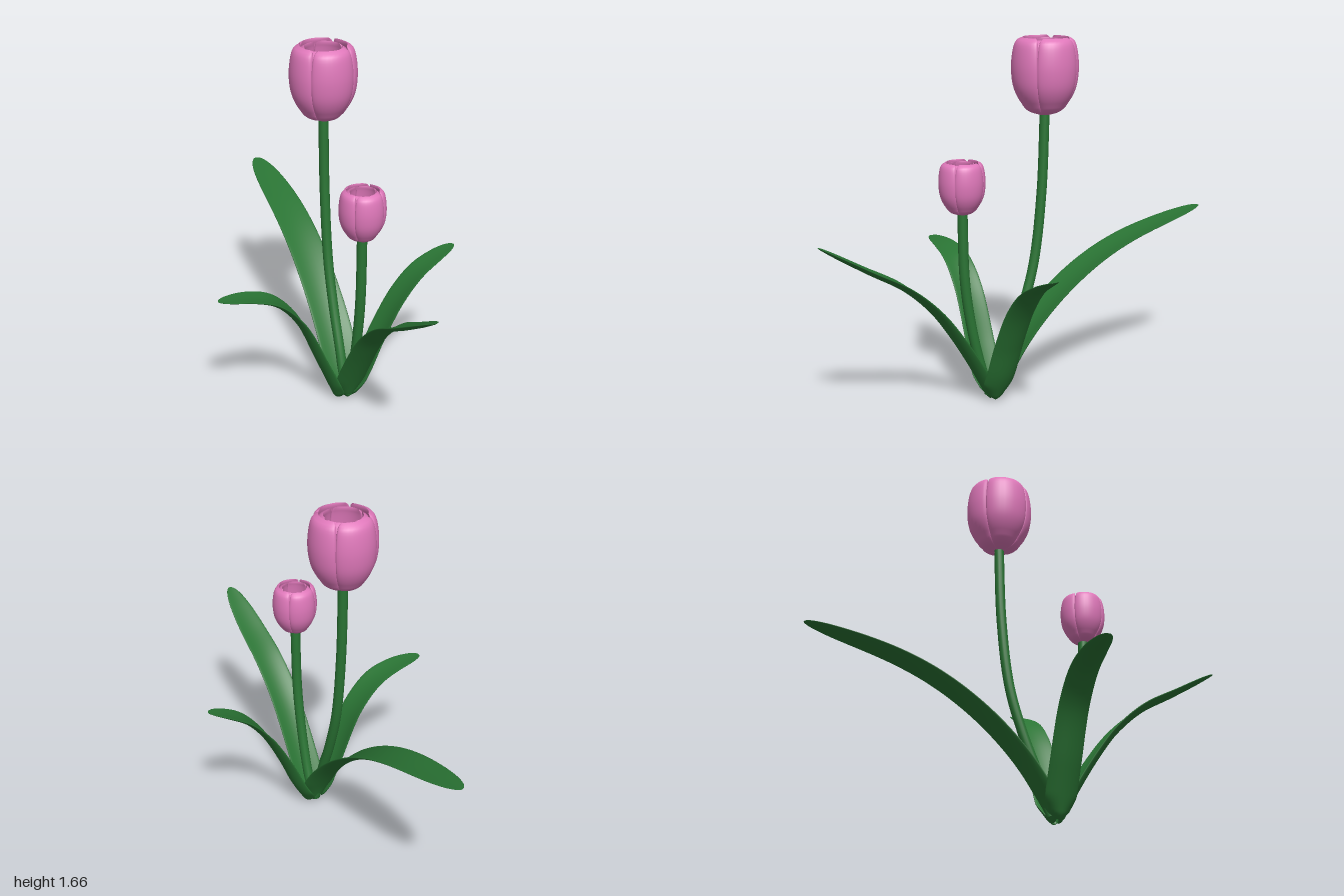
import * as THREE from 'three';

const green = new THREE.MeshStandardMaterial({ color: 0x2a7434 });
const pink = new THREE.MeshStandardMaterial({ color: 0xdf78ba });

// Skin a closed tube through rings: point(t, angle) gives a position, t runs 0..1
function loft(rows, cols, point) {
  const pos = [], index = [];
  for (let j = 0; j <= rows; j++) {
    for (let i = 0; i < cols; i++) {
      pos.push(...point(j / rows, (i / cols) * Math.PI * 2));
      if (j === rows) continue;
      const a = j * cols + i, b = j * cols + ((i + 1) % cols);
      index.push(a, b, b + cols, a, b + cols, a + cols);
    }
  }
  const geo = new THREE.BufferGeometry();
  geo.setAttribute('position', new THREE.Float32BufferAttribute(pos, 3));
  geo.setIndex(index);
  geo.computeVertexNormals();
  return geo;
}

function add(parent, name, geo, material) {
  const mesh = new THREE.Mesh(geo, material);
  mesh.name = name;
  parent.add(mesh);
  return mesh;
}

const curveOf = (pts) => new THREE.CatmullRomCurve3(pts.map(([a, b]) => new THREE.Vector3(a, b, 0)), false, 'centripetal');

// Leaf: channelled lens section swept along an outward arc, growing toward local +x
function leafGeometry(points, halfWidth) {
  const curve = curveOf(points);
  return loft(64, 24, (v, phi) => {
    // Rows crowd toward both rounded ends
    const t = (1 - Math.cos(v * Math.PI)) / 2;
    const p = curve.getPointAt(t), d = curve.getTangentAt(t);
    const base = 0.55 + 0.45 * THREE.MathUtils.smoothstep(t, 0, 0.12);
    const tip = Math.sqrt(Math.max(1 - t ** 8, 0)) * (1 - 0.12 * t * t);
    const close = Math.sqrt(Math.min(1, t * 30));
    const side = Math.sin(phi);
    const width = halfWidth * base * tip * close;
    const thick = 0.014 * (1 - 0.55 * t) * Math.min(1, tip * 1.5) * close;
    const lift = 0.028 * (1 - 0.6 * t) * tip * close * side * side;
    const n = Math.cos(phi) * thick + lift;
    return [p.x - d.y * n, p.y + d.x * n, side * width];
  });
}

// Petal: thick curved shell facing local +z, outline given as [radius, height]
const petalOutline = curveOf([[0.02, 0], [0.072, 0.018], [0.11, 0.055], [0.143, 0.12], [0.155, 0.2], [0.15, 0.28], [0.138, 0.33], [0.124, 0.348]]);
const petalGeometry = loft(32, 32, (t, phi) => {
  const p = petalOutline.getPointAt(t);
  const c = Math.cos(phi), s = Math.sin(phi);
  const end = Math.sqrt(Math.max(1 - Math.pow(t, 20), 0));
  const half = 0.017 * Math.min(1, 0.3 + t * 4) * end;
  const spread = 0.8 * (1 - 0.06 * Math.pow(t, 8)) * (0.85 + 0.15 * end);
  const depth = Math.sign(c) * Math.pow(Math.abs(c), 0.6);
  const r = Math.max(0.004, p.x - 0.017 * Math.min(1, t * 4) + half * depth - 0.015 * p.x * s ** 4);
  return [r * Math.sin(spread * s), p.y, r * Math.cos(spread * s)];
});

// Bloom: four outer petals on the axes, four smaller ones in between
function bloom(name, scale) {
  const g = new THREE.Group();
  g.name = name;
  for (let i = 0; i < 4; i++) {
    add(g, 'outerPetal', petalGeometry, pink).rotation.y = (i * Math.PI) / 2;
    const inner = add(g, 'innerPetal', petalGeometry, pink);
    inner.rotation.y = ((i + 0.5) * Math.PI) / 2;
    inner.scale.set(0.8, 0.95, 0.8);
    inner.position.y = 0.008;
  }
  g.scale.setScalar(scale);
  return g;
}

export function createModel() {
  const model = new THREE.Group();
  model.name = 'flowerPlant';
  const cx = 0.036, cz = 0.172;

  // Leaves: [name, turn, half width, arc of (outward, height)]
  const leaves = [
    ['backLeaf', Math.PI / 2, 0.092, [[0.012, 0.002], [0.075, 0.13], [0.18, 0.28], [0.34, 0.44], [0.54, 0.58], [0.75, 0.675], [1.17, 0.79]]],
    ['frontLeaf', -Math.PI / 2, 0.077, [[0.012, 0.002], [0.09, 0.15], [0.2, 0.33], [0.3, 0.465], [0.435, 0.59], [0.61, 0.695], [0.828, 0.83]]],
    ['leftLeaf', 0, 0.077, [[0.025, 0.002], [0.1, 0.13], [0.172, 0.295], [0.268, 0.475], [0.363, 0.588], [0.455, 0.65], [0.548, 0.698]]],
    ['rightLeaf', Math.PI, 0.075, [[0.045, 0.005], [0.14, 0.225], [0.25, 0.465], [0.358, 0.58], [0.465, 0.622], [0.622, 0.645]]],
  ];
  for (const [name, turn, halfWidth, pts] of leaves) {
    const leaf = add(model, name, leafGeometry(pts, halfWidth), green);
    leaf.rotation.y = turn;
    leaf.position.set(cx, 0, cz);
  }

  // Stems: paths of (z, height), each topped by a bloom
  const flowers = [
    ['tall', 1, [[0.15, 0.03], [0.1, 0.19], [0.018, 0.4], [-0.047, 0.62], [-0.088, 0.95], [-0.104, 1.34]]],
    ['short', 0.68, [[0.19, 0.03], [0.243, 0.2], [0.287, 0.4], [0.313, 0.6], [0.321, 0.915]]],
  ];
  for (const [name, scale, pts] of flowers) {
    const path = new THREE.CatmullRomCurve3(pts.map(([z, y]) => new THREE.Vector3(cx, y, z)));
    add(model, name + 'Stem', new THREE.TubeGeometry(path, 40, 0.023, 16), green);
    const [z, y] = pts[pts.length - 1];
    // Closed top of the stem inside the bloom
    const cap = add(model, name + 'StemTip', new THREE.SphereGeometry(0.023, 16, 8), green);
    cap.position.set(cx, y, z);
    cap.scale.y = 0.4;
    const head = bloom(name + 'Bloom', scale);
    head.position.set(cx, y - 0.03 * scale, z);
    model.add(head);
  }
  return model;
}
